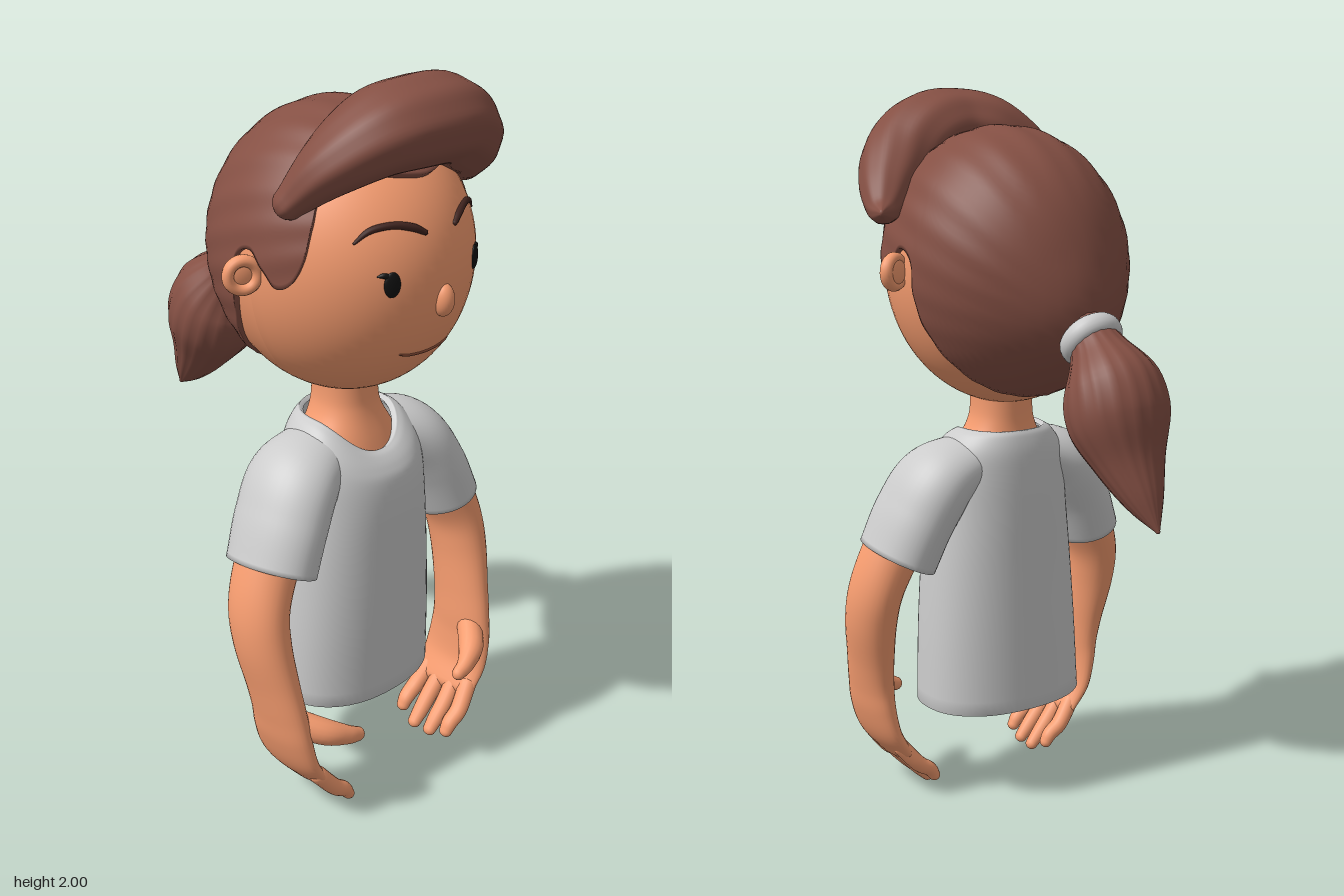
import * as THREE from 'three';

const V = (x, y, z) => new THREE.Vector3(x, y, z);
const mat = (color, side = THREE.FrontSide) => new THREE.MeshStandardMaterial({ color, side, roughness: 0.8 });
const skin = mat(0xf79d70, THREE.DoubleSide), hairMat = mat(0x855044, THREE.DoubleSide);
const grey = mat(0xcccccc, THREE.DoubleSide), dark = mat(0x111111), brown = mat(0x40241f), lip = mat(0x7d4632);

function add(parent, name, geo, material, pos, scale) {
  const m = new THREE.Mesh(geo, material);
  m.name = name;
  if (pos) m.position.set(...pos);
  if (scale) m.scale.set(...scale);
  parent.add(m);
  return m;
}

// Surface through rings of points; each ring closes on itself
function skinRings(rings) {
  const n = rings[0].length, pos = [], idx = [];
  rings.forEach(r => r.forEach(p => pos.push(p.x, p.y, p.z)));
  for (let i = 0; i < rings.length - 1; i++) for (let j = 0; j < n; j++) {
    const a = i * n + j, b = i * n + (j + 1) % n;
    idx.push(a, b, a + n, b, b + n, a + n);
  }
  const g = new THREE.BufferGeometry();
  g.setAttribute('position', new THREE.Float32BufferAttribute(pos, 3));
  g.setIndex(idx);
  g.computeVertexNormals();
  return g;
}

// Smooth interpolation of rows of up to six numbers
function smooth(rows, n) {
  const part = k => new THREE.CatmullRomCurve3(rows.map(r => V(r[k] || 0, r[k + 1] || 0, r[k + 2] || 0)), false, 'catmullrom');
  const a = part(0), b = part(3);
  return Array.from({ length: n + 1 }, (_, i) => [...a.getPoint(i / n).toArray(), ...b.getPoint(i / n).toArray()]);
}

// Tube of elliptical section; stations are [x, y, z, radiusU, radiusV], V follows ref
function limb(stations, { ref = V(0, 0, 1), n = 28, sides = 24, open = false, ripple = 0, lobes = 0 } = {}) {
  const rows = smooth(stations, n), c = rows.map(r => V(r[0], r[1], r[2]));
  const make = (i, k, shift, inset = 0) => {
    const t = c[Math.min(i + 1, n)].clone().sub(c[Math.max(i - 1, 0)]).normalize();
    const v = ref.clone().addScaledVector(t, -ref.dot(t)).normalize();
    const u = v.clone().cross(t);
    const ru = Math.max(rows[i][3], 0.002) - inset, rv = Math.max(rows[i][4], 0.002) - inset;
    return Array.from({ length: sides }, (_, j) => {
      const a = j / sides * Math.PI * 2, f = k * (1 + ripple * Math.sin(lobes * a));
      return c[i].clone().addScaledVector(u, Math.cos(a) * ru * f).addScaledVector(v, Math.sin(a) * rv * f)
        .addScaledVector(t, shift * Math.min(ru, rv));
    });
  };
  const rings = rows.map((_, i) => make(i, 1, 0));
  if (open) rings.push(make(n, 1, 0, 0.014), make(n - 6, 1, 0, 0.014));
  else for (let q = 1; q <= 5; q++) {
    const a = q / 5 * Math.PI / 2, k = Math.max(Math.cos(a), 0.001);
    rings.push(make(n, k, Math.sin(a)));
    rings.unshift(make(0, k, -Math.sin(a)));
  }
  return skinRings(rings);
}

// Horizontal body rings; rows are [y, halfWidth, frontZ, backZ, frontDip]
function body(rows, sides = 64) {
  const soft = v => Math.sign(v) * Math.pow(Math.abs(v), 0.88);
  return skinRings(rows.map(([y, w, zf, zb, dip = 0]) => Array.from({ length: sides }, (_, j) => {
    const a = j / sides * Math.PI * 2, f = Math.max(0, Math.cos(a));
    return V(w * soft(Math.sin(a)), y - dip * f * f, (zf + zb) / 2 + (zf - zb) / 2 * soft(Math.cos(a)));
  })));
}

// Head ellipsoid, flatter above its centre than below
const C = V(0, 1.53, 0.15);
const faceZ = (x, y) => {
  const ry = y > C.y ? 0.355 : 0.378;
  return C.z + 0.355 * Math.sqrt(1 - (x / 0.315) ** 2 - ((y - C.y) / ry) ** 2);
};
const onFace = (pts, r) => pts.map(([x, y, k = 1]) => [x, y, faceZ(x, y), r * k, r * k]);

function hairCap() {
  const half = [[0.14, 1.79, 0.38], [0.22, 1.75, 0.31], [0.255, 1.67, 0.31], [0.275, 1.59, 0.305], [0.295, 1.53, 0.28],
    [0.31, 1.515, 0.24], [0.315, 1.55, 0.205], [0.315, 1.59, 0.16], [0.31, 1.56, 0.11], [0.3, 1.45, 0.1],
    [0.265, 1.35, 0.07], [0.15, 1.25, 0.02]];
  const line = [[0, 1.79, 0.45], ...half, [0, 1.22, -0.01], ...half.map(([x, y, z]) => [-x, y, z]).reverse()];
  const edge = new THREE.CatmullRomCurve3(line.map(p => V(...p)), true, 'catmullrom').getPoints(192).slice(0, -1)
    .map(p => p.sub(C).normalize());
  const pole = V(0, 1, -0.1).normalize(), knot = V(0, -0.13, -0.39).normalize(), side = knot.clone().cross(V(1, 0, 0));
  // Hair swells towards the knot and carries fine strands running into it
  const place = (d, k) => {
    const r = 1 / Math.hypot(d.x / 0.328, d.y / (d.y > 0 ? 0.375 : 0.385), d.z / 0.368);
    const ang = d.angleTo(knot), psi = Math.atan2(d.dot(side), d.x);
    const strand = 0.005 * Math.sin(psi * 24) * Math.min(1, ang / 0.8) * Math.max(0, Math.sin(ang));
    return C.clone().addScaledVector(d, r * k * (1 + 0.12 * Math.exp(-ang * ang / 0.15) + strand));
  };
  const rings = [edge.map(d => place(d, 0.92))];
  for (let i = 0; i <= 44; i++) rings.push(edge.map(e => {
    const w = e.angleTo(pole), t = Math.min(i / 44, 0.999);
    const d = e.clone().multiplyScalar(Math.sin((1 - t) * w)).addScaledVector(pole, Math.sin(t * w)).normalize();
    return place(d, 1);
  }));
  return skinRings(rings);
}

export function createModel() {
  const root = new THREE.Group();
  const ball = new THREE.SphereGeometry(1, 32, 20);

  // Head
  const head = new THREE.Group();
  head.name = 'head';
  root.add(head);
  const skull = new THREE.SphereGeometry(1, 64, 48), p = skull.attributes.position;
  for (let i = 0; i < p.count; i++) {
    const y = p.getY(i);
    p.setXYZ(i, p.getX(i) * 0.315, y * (y > 0 ? 0.355 : 0.378), p.getZ(i) * 0.355);
  }
  skull.computeVertexNormals();
  add(head, 'skull', skull, skin, C.toArray());
  add(head, 'nose', ball, skin, [0, 1.475, 0.497], [0.027, 0.043, 0.03]);
  add(head, 'mouth', limb(onFace([[-0.085, 1.337, 0.6], [-0.06, 1.33], [0, 1.327], [0.06, 1.33], [0.085, 1.337, 0.6]], 0.004),
    { ref: V(0, 1, 0), sides: 8 }), lip);
  for (const s of [1, -1]) {
    const eye = add(head, 'eye', ball, dark, [s * 0.145, 1.54, faceZ(0.145, 1.54)], [0.021, 0.032, 0.008]);
    eye.rotation.y = s * 0.44;
    add(head, 'eyelash', limb(onFace([[s * 0.15, 1.56], [s * 0.163, 1.564], [s * 0.174, 1.562, 0.3]], 0.007),
      { ref: V(0, 1, 0), n: 8, sides: 8 }), dark);
    add(head, 'eyebrow', limb(onFace([[s * 0.052, 1.652, 0.8], [s * 0.08, 1.667, 1.1], [s * 0.125, 1.676],
      [s * 0.172, 1.667, 0.9], [s * 0.205, 1.64, 0.4]], 0.009), { ref: V(0, 1, 0), sides: 10 }), brown);
    const ear = new THREE.Group();
    ear.name = 'ear';
    ear.position.set(s * 0.343, 1.532, 0.158);
    ear.rotation.y = s * 0.45;
    add(ear, 'earRim', new THREE.TorusGeometry(0.037, 0.015, 14, 36), skin, null, [1, 1, 1.2]);
    add(ear, 'earBowl', ball, skin, [0, 0, -0.008], [0.038, 0.038, 0.014]);
    head.add(ear);
  }

  // Hair
  const hair = new THREE.Group();
  hair.name = 'hair';
  root.add(hair);
  add(hair, 'hairCap', hairCap(), hairMat);
  add(hair, 'sweptFringe', limb([[-0.275, 1.72, 0.25, 0.05, 0.04], [-0.2, 1.81, 0.31, 0.1, 0.075], [-0.1, 1.875, 0.36, 0.13, 0.1],
    [0, 1.89, 0.385, 0.13, 0.108], [0.1, 1.878, 0.38, 0.13, 0.108], [0.2, 1.815, 0.35, 0.11, 0.098], [0.28, 1.74, 0.285, 0.08, 0.075],
    [0.335, 1.69, 0.22, 0.045, 0.042], [0.372, 1.685, 0.165, 0.008, 0.01]],
  { ref: V(0, 1, 0), n: 48, sides: 60, ripple: 0.015, lobes: 9 }), hairMat);
  add(hair, 'ponytail', limb([[0, 1.39, -0.225, 0.06, 0.06], [0, 1.345, -0.275, 0.078, 0.075], [0, 1.265, -0.332, 0.128, 0.125],
    [0, 1.175, -0.365, 0.135, 0.128], [0, 1.08, -0.412, 0.095, 0.088], [0, 0.99, -0.472, 0.05, 0.048], [0, 0.925, -0.522, 0.006, 0.006]],
  { ref: V(0, 0, 1), n: 40, sides: 72, ripple: 0.014, lobes: 18 }), hairMat);
  const tie = add(hair, 'hairTie', new THREE.TorusGeometry(0.063, 0.021, 16, 48), grey, [0, 1.373, -0.245], [1.04, 1, 1.4]);
  tie.lookAt(0, 1.373 - 0.62, -0.245 - 0.79);

  // Torso, neck and shirt
  add(root, 'torsoAndNeck', body(smooth([[0.287, 0.231, 0.358, 0.02], [0.5, 0.218, 0.358, 0.03], [0.7, 0.203, 0.355, 0.035],
    [0.88, 0.18, 0.345, 0.045], [0.98, 0.15, 0.31, 0.06, 0.03], [1.04, 0.12, 0.285, 0.07, 0.02], [1.09, 0.093, 0.26, 0.078],
    [1.14, 0.083, 0.252, 0.08], [1.24, 0.085, 0.25, 0.08]], 40)), skin);
  const shirt = smooth([[0.28, 0.245, 0.375, 0.005], [0.5, 0.235, 0.377, 0.013], [0.7, 0.22, 0.375, 0.02], [0.85, 0.205, 0.372, 0.024],
    [0.95, 0.196, 0.362, 0.028, 0.02], [1.02, 0.182, 0.345, 0.034, 0.055], [1.065, 0.15, 0.322, 0.045, 0.075],
    [1.083, 0.122, 0.303, 0.055, 0.082]], 40);
  add(root, 'shirt', body([[0.3, 0.232, 0.36, 0.02], [0.28, 0.234, 0.363, 0.017], ...shirt, [1.072, 0.112, 0.292, 0.064, 0.08]]), grey);

  // Sleeves, arms and hands
  for (const s of [1, -1]) {
    const part = (name, pts, m, opt) => add(root, name, limb(pts.map(([x, ...r]) => [s * x, ...r]), opt), m);
    part('sleeve', [[0.09, 1.0, 0.17, 0.07, 0.1], [0.2, 0.945, 0.187, 0.098, 0.135], [0.265, 0.85, 0.205, 0.1, 0.142],
      [0.315, 0.735, 0.22, 0.1, 0.138]], grey, { open: true, sides: 40 });
    part('armAndPalm', [[0.27, 0.88, 0.215, 0.075, 0.09], [0.33, 0.76, 0.222, 0.075, 0.093], [0.374, 0.65, 0.237, 0.069, 0.093],
      [0.383, 0.55, 0.258, 0.065, 0.091], [0.372, 0.43, 0.285, 0.055, 0.092], [0.363, 0.35, 0.3, 0.05, 0.097],
      [0.355, 0.28, 0.306, 0.045, 0.105], [0.335, 0.205, 0.308, 0.037, 0.11], [0.295, 0.14, 0.31, 0.027, 0.104]], skin, { n: 48, sides: 32 });
    part('thumb', [[0.36, 0.33, 0.33, 0.035, 0.04], [0.295, 0.298, 0.4, 0.036, 0.036], [0.24, 0.276, 0.43, 0.025, 0.027],
      [0.203, 0.263, 0.436, 0.019, 0.02]], skin, { ref: V(0, 1, 0), n: 16, sides: 16 });
    // Fingers, the outer two slightly shorter
    [[0.4, 0.022], [0.345, 0.003], [0.286, 0], [0.228, 0.024]].forEach(([z, up]) =>
      part('finger', [[0.305, 0.155, 0.31 + (z - 0.31) * 0.85, 0.024, 0.027], [0.255, 0.095, z, 0.023, 0.026],
        [0.218, 0.052 + up * 0.7, z, 0.021, 0.024], [0.19 + up * 0.5, 0.022 + up, z, 0.017, 0.02]], skin, { n: 14, sides: 16 }));
  }
  return root;
}
